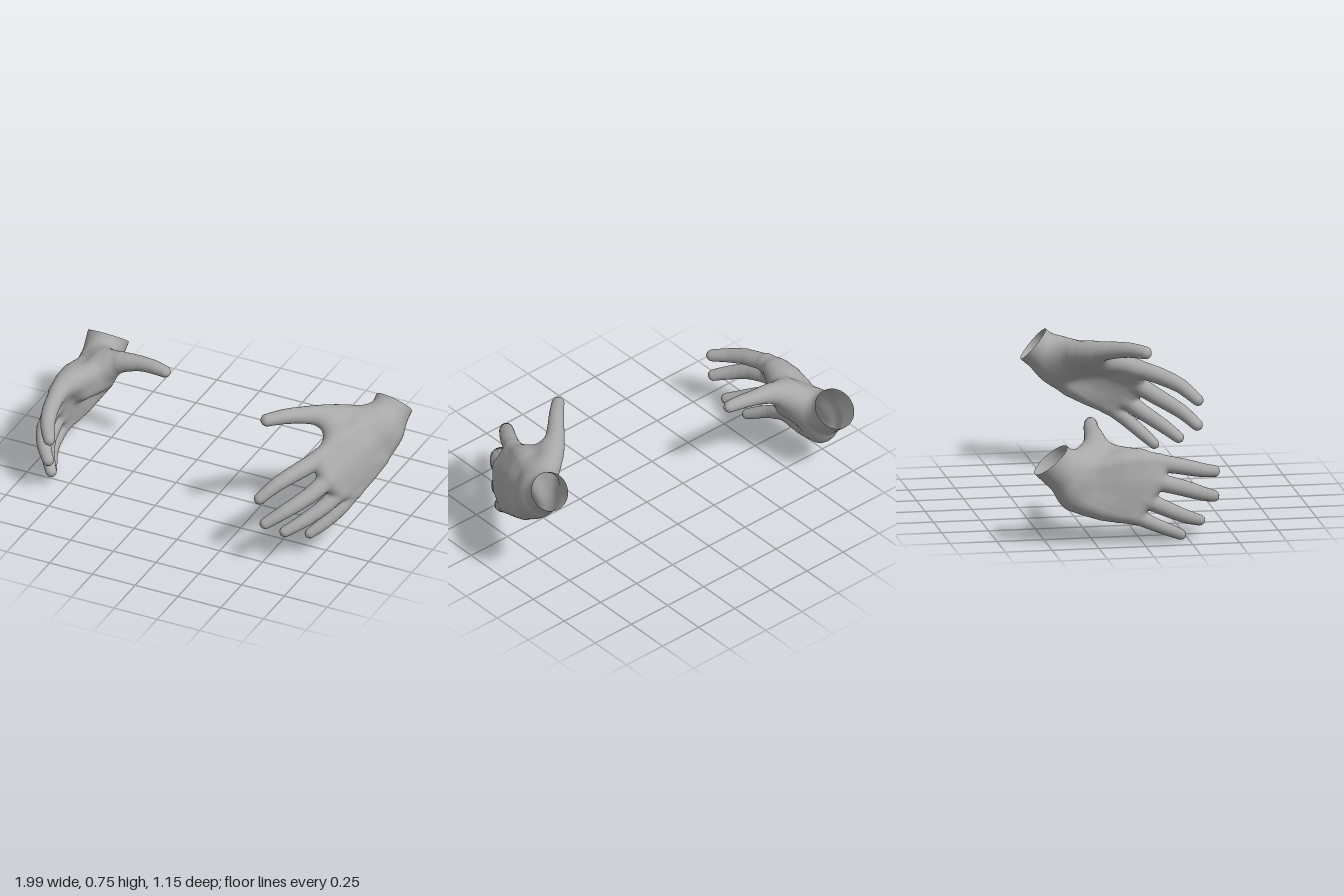
import * as THREE from 'three';

const CELL = 0.0115;

// Every chain is a row of [x, y, z, radius] joints.
// rays: four palm bones, index to pinky, that span the palm as one padded sheet.
const LEFT = {
  cut: { point: [0.897, 0.67, -0.264], axis: [-0.12, -0.65, 0.75] },
  rays: [
    [[0.86, 0.62, -0.12, 0.068], [0.785, 0.61, 0.06, 0.064], [0.708, 0.56, 0.25, 0.048]],
    [[0.88, 0.59, -0.13, 0.07], [0.835, 0.54, 0.06, 0.064], [0.77, 0.46, 0.265, 0.049]],
    [[0.885, 0.55, -0.13, 0.07], [0.865, 0.465, 0.03, 0.064], [0.813, 0.37, 0.215, 0.048]],
    [[0.9, 0.545, -0.16, 0.074], [0.888, 0.45, -0.06, 0.072], [0.85, 0.338, 0.125, 0.048]],
  ],
  body: {
    wrist: [[0.915, 0.74, -0.345, 0.102], [0.897, 0.67, -0.264, 0.104], [0.885, 0.57, -0.15, 0.1]],
    thumbBall: [[0.82, 0.57, -0.1, 0.06], [0.735, 0.595, 0.05, 0.05]],
    web: [[0.67, 0.648, 0.03, 0.048], [0.73, 0.605, 0.11, 0.045]],
    thumb: [[0.86, 0.62, -0.13, 0.07], [0.73, 0.648, -0.06, 0.066], [0.63, 0.675, 0.015, 0.056],
      [0.54, 0.702, 0.105, 0.045], [0.47, 0.715, 0.18, 0.04], [0.402, 0.713, 0.248, 0.034]],
  },
  fingers: {
    index: [[0.708, 0.56, 0.25, 0.047], [0.65, 0.532, 0.355, 0.045], [0.572, 0.488, 0.465, 0.039], [0.505, 0.422, 0.545, 0.031]],
    middle: [[0.77, 0.46, 0.265, 0.048], [0.71, 0.398, 0.37, 0.044], [0.62, 0.337, 0.48, 0.038], [0.54, 0.28, 0.548, 0.031]],
    ring: [[0.813, 0.37, 0.215, 0.046], [0.77, 0.313, 0.29, 0.042], [0.69, 0.25, 0.39, 0.037], [0.612, 0.2, 0.462, 0.03]],
    pinky: [[0.85, 0.338, 0.125, 0.045], [0.82, 0.27, 0.21, 0.039], [0.76, 0.2, 0.29, 0.034], [0.702, 0.15, 0.348, 0.028]],
  },
};

const RIGHT = {
  cut: { point: [-0.883, 0.462, -0.487], axis: [0, -0.77, 0.64] },
  rays: [
    [[-0.88, 0.38, -0.3, 0.07], [-0.905, 0.432, -0.1, 0.063], [-0.9, 0.428, 0.08, 0.049]],
    [[-0.885, 0.34, -0.32, 0.07], [-0.918, 0.345, -0.1, 0.063], [-0.927, 0.335, 0.06, 0.05]],
    [[-0.89, 0.3, -0.33, 0.07], [-0.92, 0.27, -0.12, 0.063], [-0.934, 0.243, 0.0, 0.049]],
    [[-0.89, 0.264, -0.358, 0.084], [-0.913, 0.2, -0.21, 0.069], [-0.934, 0.158, -0.055, 0.048]],
  ],
  body: {
    wrist: [[-0.88, 0.54, -0.555, 0.112], [-0.883, 0.462, -0.487, 0.112], [-0.885, 0.35, -0.385, 0.102]],
    thumbBall: [[-0.865, 0.33, -0.31, 0.07], [-0.795, 0.38, -0.215, 0.07], [-0.84, 0.365, -0.09, 0.054]],
    web: [[-0.785, 0.46, -0.19, 0.06], [-0.87, 0.44, -0.02, 0.05]],
    thumb: [[-0.86, 0.415, -0.33, 0.08], [-0.77, 0.466, -0.242, 0.074], [-0.68, 0.51, -0.216, 0.057],
      [-0.57, 0.535, -0.213, 0.042], [-0.47, 0.543, -0.2, 0.037], [-0.408, 0.54, -0.19, 0.032]],
  },
  fingers: {
    index: [[-0.9, 0.428, 0.08, 0.046], [-0.88, 0.397, 0.22, 0.043], [-0.845, 0.367, 0.32, 0.038], [-0.795, 0.345, 0.4, 0.032]],
    middle: [[-0.927, 0.335, 0.06, 0.046], [-0.91, 0.287, 0.22, 0.043], [-0.865, 0.245, 0.32, 0.038], [-0.803, 0.213, 0.397, 0.031]],
    ring: [[-0.934, 0.243, 0.0, 0.045], [-0.922, 0.17, 0.15, 0.04], [-0.88, 0.125, 0.24, 0.036], [-0.825, 0.092, 0.318, 0.03]],
    pinky: [[-0.934, 0.158, -0.055, 0.043], [-0.928, 0.093, 0.08, 0.035], [-0.905, 0.06, 0.15, 0.033], [-0.875, 0.03, 0.208, 0.029]],
  },
};

// Round a chain by inserting curved midpoints between its joints
function refine(chain) {
  const n = chain.length, out = [chain[0]];
  for (let i = 0; i + 1 < n; i++) {
    const a = chain[i], b = chain[i + 1];
    const before = i > 0 ? chain[i - 1] : a.map((v, m) => 2 * v - b[m]);
    const after = i + 2 < n ? chain[i + 2] : b.map((v, m) => 2 * v - a[m]);
    out.push(a.map((v, m) => (9 * (v + b[m]) - before[m] - after[m]) / 16), b);
  }
  return out;
}

// Distance from a point to a chain of tapered rods
function chainDistance(chain, x, y, z) {
  let best = 1e9;
  for (let i = 0; i + 1 < chain.length; i++) {
    const a = chain[i], b = chain[i + 1];
    const dx = b[0] - a[0], dy = b[1] - a[1], dz = b[2] - a[2];
    const px = x - a[0], py = y - a[1], pz = z - a[2];
    const t = Math.min(1, Math.max(0, (px * dx + py * dy + pz * dz) / (dx * dx + dy * dy + dz * dz)));
    const ex = px - dx * t, ey = py - dy * t, ez = pz - dz * t;
    best = Math.min(best, Math.sqrt(ex * ex + ey * ey + ez * ez) - (a[3] + (b[3] - a[3]) * t));
  }
  return best;
}

// Palm sheet: rounded across the bones, then along each ray
function makeSheet(rays) {
  const across = rays[0].map((_, j) => refine(refine(rays.map((ray) => ray[j]))));
  return across[0].map((_, s) => refine(across.map((row) => row[s])));
}

// Distance to the palm sheet: nearest ray, refined by a parabola through its neighbours
function sheetDistance(sheet, x, y, z) {
  const d = sheet.map((ray) => chainDistance(ray, x, y, z));
  const i = d.indexOf(Math.min(...d));
  if (i === 0 || i === d.length - 1) return d[i];
  const slope = d[i + 1] - d[i - 1], bend = d[i + 1] - 2 * d[i] + d[i - 1];
  return bend > 1e-6 ? d[i] - (slope * slope) / (8 * bend) : d[i];
}

function smoothMin(a, b, k) {
  const h = Math.max(k - Math.abs(a - b), 0);
  return Math.min(a, b) - (h * h) / (4 * k);
}

// Blended skin: broad blending around wrist and thumb, tight where fingers join
function makeField(hand) {
  const sheet = makeSheet(hand.rays);
  const body = Object.values(hand.body).map(refine), fingers = Object.values(hand.fingers).map(refine);
  return (x, y, z) => {
    let d = sheetDistance(sheet, x, y, z);
    for (const c of body) d = smoothMin(d, chainDistance(c, x, y, z), 0.065);
    for (const c of fingers) d = smoothMin(d, chainDistance(c, x, y, z), 0.016);
    return d;
  };
}

function buildHandGeometry(hand) {
  const field = makeField(hand);
  const box = new THREE.Box3();
  for (const c of [...hand.rays, ...Object.values(hand.body), ...Object.values(hand.fingers)])
    for (const [x, y, z] of c) box.expandByPoint(new THREE.Vector3(x, y, z));
  box.expandByScalar(0.14);
  const min = box.min;
  const [nx, ny, nz] = box.getSize(new THREE.Vector3()).toArray().map((s) => Math.ceil(s / CELL) + 1);
  const step = [1, nx, nx * ny];

  // Sample the field on a grid
  const value = new Float32Array(nx * ny * nz);
  for (let k = 0, p = 0; k < nz; k++)
    for (let j = 0; j < ny; j++)
      for (let i = 0; i < nx; i++, p++)
        value[p] = field(min.x + i * CELL, min.y + j * CELL, min.z + k * CELL);

  const gradient = (v, e) => new THREE.Vector3(
    field(v.x + e, v.y, v.z) - field(v.x - e, v.y, v.z),
    field(v.x, v.y + e, v.z) - field(v.x, v.y - e, v.z),
    field(v.x, v.y, v.z + e) - field(v.x, v.y, v.z - e)).normalize();

  // One vertex in every cell the skin passes through
  const cutPoint = new THREE.Vector3(...hand.cut.point);
  const cutAxis = new THREE.Vector3(...hand.cut.axis).normalize();
  const vertexOf = new Int32Array(value.length).fill(-1);
  const positions = [], normals = [], beyond = [], index = [];
  const corner = (p, c) => value[p + (c & 1) + ((c >> 1) & 1) * step[1] + (c >> 2) * step[2]];
  for (let k = 0; k < nz - 1; k++)
    for (let j = 0; j < ny - 1; j++)
      for (let i = 0; i < nx - 1; i++) {
        const p = i + j * step[1] + k * step[2];
        const sum = [0, 0, 0];
        let count = 0;
        for (let c = 0; c < 8; c++)
          for (let a = 0; a < 3; a++) {
            if ((c >> a) & 1) continue;
            const v0 = corner(p, c), v1 = corner(p, c | (1 << a));
            if (v0 < 0 === v1 < 0) continue;
            for (let m = 0; m < 3; m++) sum[m] += m === a ? v0 / (v0 - v1) : (c >> m) & 1;
            count++;
          }
        if (!count) continue;
        const v = new THREE.Vector3(i + sum[0] / count, j + sum[1] / count, k + sum[2] / count)
          .multiplyScalar(CELL).add(min);
        const n = gradient(v, 0.009);
        // Flatten everything past the wrist cut onto its plane
        const s = v.clone().sub(cutPoint).dot(cutAxis);
        if (s < 0) v.addScaledVector(cutAxis, -s);
        vertexOf[p] = beyond.length;
        beyond.push(s < 0);
        positions.push(v.x, v.y, v.z);
        normals.push(n.x, n.y, n.z);
      }

  // Join the four cells around each crossed grid edge, leaving the wrist open
  for (let k = 1; k < nz - 1; k++)
    for (let j = 1; j < ny - 1; j++)
      for (let i = 1; i < nx - 1; i++) {
        const p = i + j * step[1] + k * step[2];
        for (let a = 0; a < 3; a++) {
          const inside = value[p] < 0;
          if (inside === value[p + step[a]] < 0) continue;
          const b = step[(a + 1) % 3], c = step[(a + 2) % 3];
          const q = [p, p - b, p - b - c, p - c].map((m) => vertexOf[m]);
          if (q.every((m) => beyond[m])) continue;
          if (!inside) q.reverse();
          index.push(q[0], q[1], q[2], q[0], q[2], q[3]);
        }
      }

  const geometry = new THREE.BufferGeometry();
  geometry.setAttribute('position', new THREE.Float32BufferAttribute(positions, 3));
  geometry.setAttribute('normal', new THREE.Float32BufferAttribute(normals, 3));
  return geometry.setIndex(index);
}

export function createModel() {
  const skin = new THREE.MeshStandardMaterial({ color: 0xa8a8a8, side: THREE.DoubleSide });
  skin.name = 'greySkin';
  const group = new THREE.Group();
  group.name = 'pairOfHands';
  for (const [name, hand] of [['leftHand', LEFT], ['rightHand', RIGHT]]) {
    const mesh = new THREE.Mesh(buildHandGeometry(hand), skin);
    mesh.name = name;
    group.add(mesh);
  }
  return group;
}
